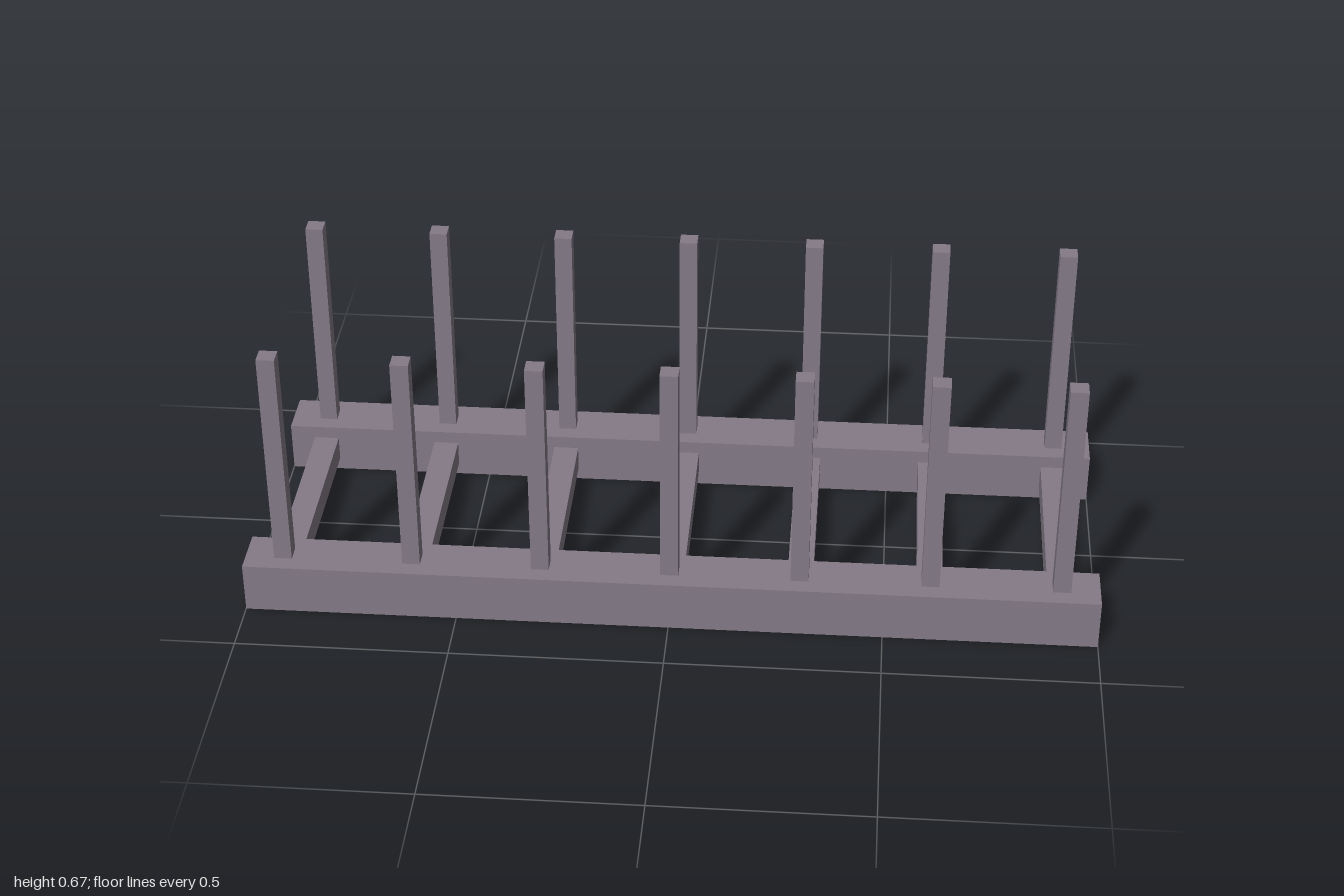
import * as THREE from 'three';

const RAIL = 0.122, RAIL_Z = 0.303;
const COUNT = 7, SPACING = 0.3035;
const RUNG = 0.06, POST = 0.042, TOP = 0.668;

export function createModel() {
  const model = new THREE.Group();
  model.name = 'rack';
  const material = new THREE.MeshStandardMaterial({ color: 0x857b88, flatShading: true });

  const addBox = (name, w, h, d, x, y, z) => {
    const mesh = new THREE.Mesh(new THREE.BoxGeometry(w, h, d), material);
    mesh.name = name;
    mesh.position.set(x, y, z);
    model.add(mesh);
  };

  // Two long base rails
  for (const side of [1, -1]) {
    addBox(side > 0 ? 'frontRail' : 'backRail', 2, RAIL, RAIL, 0, RAIL / 2, side * RAIL_Z);
  }

  // Cross rungs between the rails, each with a post at either end
  for (let i = 0; i < COUNT; i++) {
    const x = (i - (COUNT - 1) / 2) * SPACING;
    addBox('crossRung', RUNG, RUNG, 2 * RAIL_Z - RAIL, x, RAIL / 2, 0);
    for (const side of [1, -1]) {
      addBox(side > 0 ? 'frontPost' : 'backPost', POST, TOP - RAIL, POST,
        x, (TOP + RAIL) / 2, side * RAIL_Z);
    }
  }
  return model;
}
